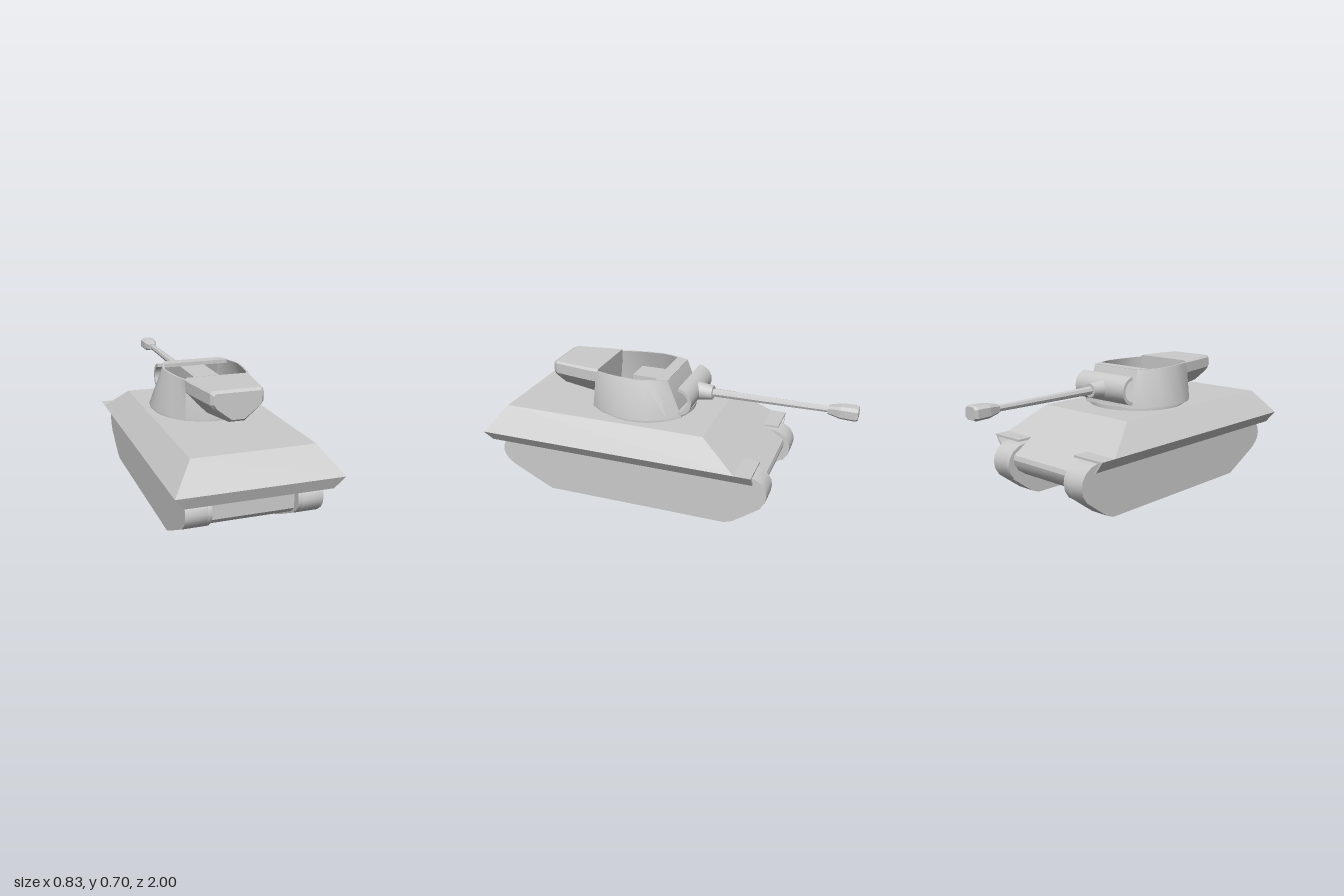
import * as THREE from 'three';
import { toCreasedNormals } from 'three/addons/utils/BufferGeometryUtils.js';

const material = new THREE.MeshStandardMaterial({ color: 0xcccccc });
const V = (x, y, z) => new THREE.Vector3(x, y, z);

// Skin a list of equal-length loops, cap both ends, and face it outwards
function loft(loops, crease = 0.1) {
  const tris = [];
  const n = loops[0].length;
  for (let i = 0; i < loops.length - 1; i++) {
    for (let j = 0; j < n; j++) {
      const k = (j + 1) % n;
      const [a, b, c, d] = [loops[i][j], loops[i][k], loops[i + 1][k], loops[i + 1][j]];
      tris.push([a, b, c], [a, c, d]);
    }
  }
  const cap = (loop, flip) => {
    const mid = loop.reduce((s, p) => s.add(p), V(0, 0, 0)).divideScalar(n);
    loop.forEach((p, j) => {
      const q = loop[(j + 1) % n];
      tris.push(flip ? [mid, q, p] : [mid, p, q]);
    });
  };
  cap(loops[0], true);
  cap(loops[loops.length - 1], false);
  const volume = tris.reduce((s, [a, b, c]) => s + a.dot(b.clone().cross(c)), 0);
  if (volume < 0) tris.forEach((t) => t.reverse());
  const geometry = new THREE.BufferGeometry().setFromPoints(tris.flat());
  return toCreasedNormals(geometry, crease);
}

const toShape = (points) => new THREE.Shape(points.map(([a, b]) => new THREE.Vector2(a, b)));

// Extrude a side profile of [z, y] points from x0 to x1
function extrudeX(points, x0, x1, crease = 0.1) {
  const geometry = new THREE.ExtrudeGeometry(toShape(points), { depth: x1 - x0, bevelEnabled: false });
  geometry.rotateY(-Math.PI / 2).translate(x1, 0, 0);
  return toCreasedNormals(geometry, crease);
}

// Mirror half an outline of [x, z] points, starting and ending on x = 0
const mirrorLoop = (half) => [...half, ...half.slice(1, -1).reverse().map(([x, z]) => [-x, z])];
const rect = (x, z0, z1, y) => [V(x, y, z0), V(x, y, z1), V(-x, y, z1), V(-x, y, z0)];

export function createModel() {
  const model = new THREE.Group();
  const add = (name, geometry, parent = model) => {
    const mesh = new THREE.Mesh(geometry, material);
    mesh.name = name;
    parent.add(mesh);
    return mesh;
  };

  // Sloped upper hull
  add('upperHull', loft([
    rect(0.37, -0.46, 0.975, 0.27),
    rect(0.415, -0.46, 1.0, 0.333),
    rect(0.31, -0.26, 0.89, 0.47),
  ]));

  // Lower hull with rounded nose
  add('lowerHull', extrudeX([
    [-0.46, 0.333], [-0.58, 0.255], [-0.587, 0.23], [-0.58, 0.2], [-0.555, 0.165],
    [-0.51, 0.135], [-0.45, 0.12], [0.85, 0.12], [0.88, 0.15], [0.88, 0.3],
  ], -0.215, 0.215, 0.5));

  // Tracks: full belt outside, narrow ledge inside above the belly line
  const upperTrack = [
    [0.87, 0.12], [0.905, 0.15], [0.922, 0.18], [0.926, 0.205], [0.918, 0.24], [0.895, 0.27],
    [0.85, 0.29], [-0.5, 0.308], [-0.55, 0.297], [-0.59, 0.272], [-0.614, 0.235], [-0.62, 0.2],
    [-0.612, 0.16], [-0.585, 0.12],
  ];
  const lowerTrack = [[-0.49, 0.05], [-0.445, 0.018], [-0.40, 0], [0.63, 0], [0.67, 0.018]];
  const fender = [[0.215, 0.333], [0.415, 0.333], [0.37, 0.27], [0.36, 0.275], [0.392, 0.322], [0.215, 0.322]];
  for (const side of [1, -1]) {
    const label = side > 0 ? 'left' : 'right';
    const span = (a, b) => (side > 0 ? [a, b] : [-b, -a]);
    add(label + 'Track', extrudeX([...upperTrack, ...lowerTrack], ...span(0.235, 0.345), 0.5));
    add(label + 'TrackLedge', extrudeX(upperTrack, ...span(0.215, 0.235), 0.5));
    const shape = toShape(fender.map(([x, y]) => [x * side, y]));
    add(label + 'Fender', new THREE.ExtrudeGeometry(shape, { depth: 0.1, bevelEnabled: false }).translate(0, 0, -0.548));
  }

  const turret = new THREE.Group();
  turret.name = 'turret';
  model.add(turret);

  add('turretRing', new THREE.CylinderGeometry(0.27, 0.27, 0.025, 40).translate(0, 0.478, 0.16), turret);

  // Open-topped turret: outer wall, rim, inner wall and floor in one skin
  const bottom = mirrorLoop([[0, -0.1], [0.16, -0.09], [0.225, -0.03], [0.272, 0.07], [0.286, 0.15],
    [0.277, 0.24], [0.24, 0.34], [0.18, 0.42], [0.09, 0.445], [0, 0.45]]);
  const top = mirrorLoop([[0, -0.015], [0.163, -0.015], [0.185, 0.04], [0.206, 0.1], [0.214, 0.15],
    [0.206, 0.25], [0.192, 0.33], [0.172, 0.4], [0.08, 0.405], [0, 0.405]]);
  const ring = (loop, y, s = 1) => loop.map(([x, z]) => V(x * s, y, 0.18 + (z - 0.18) * s));
  add('turretWall', loft([
    ring(bottom, 0.484), ring(bottom, 0.492), ring(top, 0.69), ring(top, 0.69, 0.95), ring(bottom, 0.5, 0.93),
  ], 0.55), turret);

  // Narrow roof strip behind the gun
  add('frontRoof', loft([0.672, 0.692].map((y) =>
    [V(0.163, y, -0.015), V(0.186, y, 0.05), V(-0.186, y, 0.05), V(-0.163, y, -0.015)])), turret);

  // Overhanging rear bustle with a V-shaped underside
  const bustleSection = (z, w, yTop, yMid, v, yLow) => {
    const half = [[w * 0.93, yTop], [w, yTop - 0.012], [w, yMid], [w * 0.87, yMid - 0.025], [v, yLow]];
    return [...half, ...half.slice().reverse().map(([x, y]) => [-x, y])].map(([x, y]) => V(x, y, z));
  };
  add('bustle', loft([
    bustleSection(0.39, 0.175, 0.7, 0.63, 0.08, 0.522),
    bustleSection(0.45, 0.17, 0.7, 0.63, 0.072, 0.525),
    bustleSection(0.66, 0.137, 0.7, 0.632, 0.04, 0.54),
    bustleSection(0.682, 0.123, 0.69, 0.638, 0.032, 0.555),
  ], 0.4), turret);

  // Gun breech inside the open turret
  add('breech', new THREE.BoxGeometry(0.14, 0.1, 0.24).translate(0, 0.605, 0.105), turret);

  // Curved mantlet shell
  const gunY = 0.585;
  const arc = (r, from, to) => Array.from({ length: 13 }, (_, i) => {
    const t = from + ((to - from) * i) / 12;
    return [-0.075 - r * Math.cos(t), gunY + r * Math.sin(t)];
  });
  add('mantlet', extrudeX([...arc(0.078, -1.5, 1.5), ...arc(0.06, 1.5, -1.5)], -0.183, 0.183, 0.5), turret);

  // Collar and barrel along -z
  const tube = (name, rFront, rBack, zFront, zBack, sides) => {
    const geometry = new THREE.CylinderGeometry(rBack, rFront, zBack - zFront, sides);
    geometry.rotateX(Math.PI / 2).translate(0, gunY, (zFront + zBack) / 2);
    add(name, toCreasedNormals(geometry, 0.5), turret);
  };
  tube('gunCollar', 0.038, 0.052, -0.22, -0.13, 16);
  tube('barrel', 0.017, 0.023, -0.86, -0.2, 8);

  // Boxy flared muzzle with chamfered corners
  const muzzleSection = ([z, w, h]) => [[1, 0.6], [0.6, 1], [-0.6, 1], [-1, 0.6], [-1, -0.6], [-0.6, -1], [0.6, -1], [1, -0.6]]
    .map(([x, y]) => V(x * w, gunY + y * h, z));
  add('muzzleBrake', loft([
    [-0.845, 0.022, 0.021], [-0.91, 0.04, 0.034], [-0.985, 0.044, 0.036], [-1, 0.038, 0.032],
  ].map(muzzleSection)), turret);

  return model;
}
